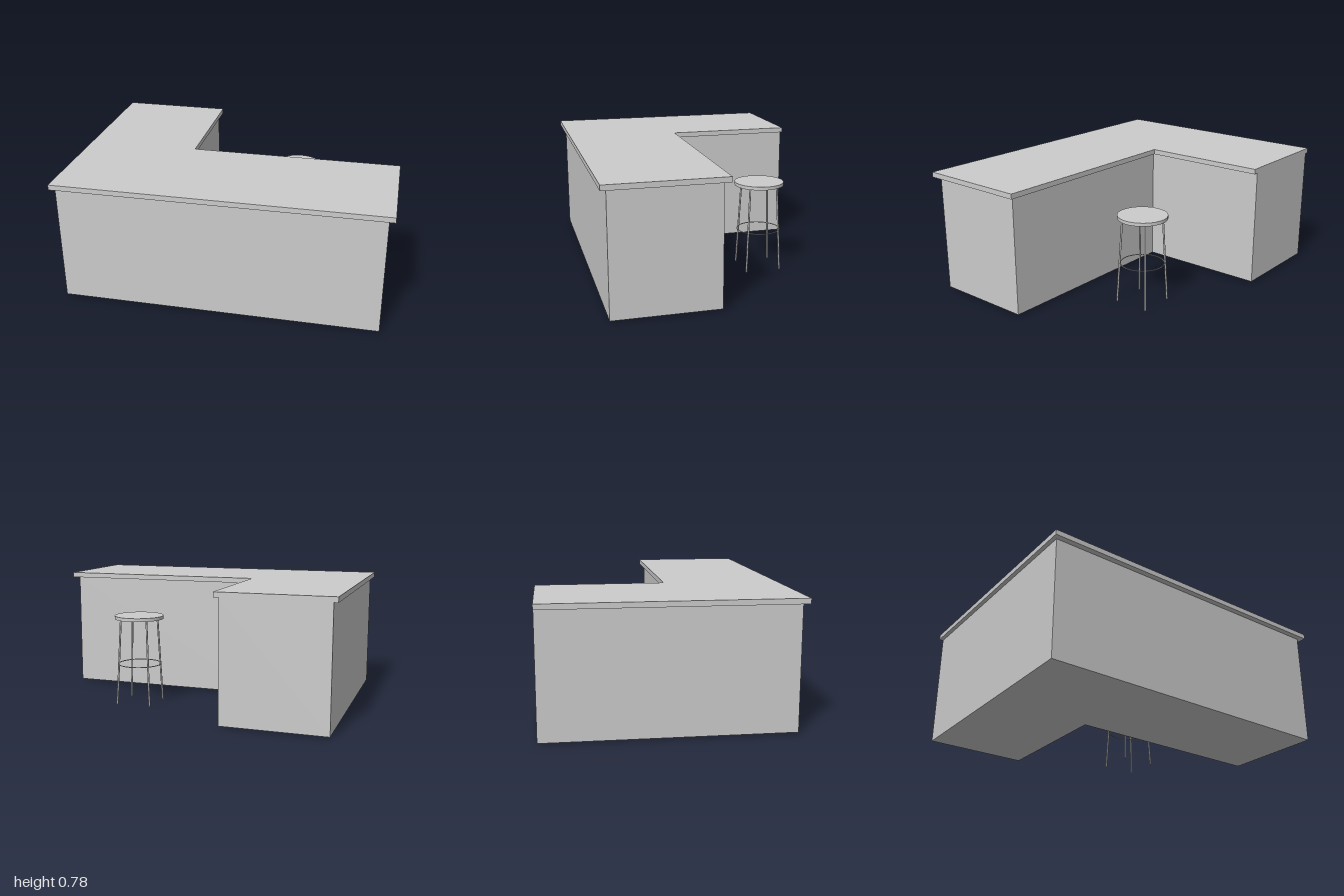
import * as THREE from 'three';

const material = new THREE.MeshStandardMaterial({ color: 0xcccccc });

function addMesh(parent, name, geometry, x = 0, y = 0, z = 0) {
  const mesh = new THREE.Mesh(geometry, material);
  mesh.name = name;
  mesh.position.set(x, y, z);
  parent.add(mesh);
  return mesh;
}

// L-shaped slab: a front run across x plus a wing going back on the -x side
function lSlab({ x0, x1, back, front, innerX, innerZ, height }) {
  const corners = [[x0, front], [x1, front], [x1, innerZ], [innerX, innerZ], [innerX, back], [x0, back]];
  const shape = new THREE.Shape(corners.map(([x, z]) => new THREE.Vector2(x, -z)));
  return new THREE.ExtrudeGeometry(shape, { depth: height, bevelEnabled: false }).rotateX(-Math.PI / 2);
}

// Round stool with four splayed legs and a foot ring
function createStool() {
  const stool = new THREE.Group();
  stool.name = 'stool';
  addMesh(stool, 'seat', new THREE.CylinderGeometry(0.154, 0.154, 0.021, 48), 0, 0.55, 0);

  const up = new THREE.Vector3(0, 1, 0);
  for (const sx of [-1, 1]) {
    for (const sz of [-1, 1]) {
      const foot = new THREE.Vector3(sx * 0.11, 0, sz * 0.11);
      const top = new THREE.Vector3(sx * 0.087, 0.542, sz * 0.087);
      const axis = top.clone().sub(foot);
      const leg = addMesh(stool, 'leg', new THREE.CylinderGeometry(0.006, 0.006, axis.length(), 12));
      leg.position.copy(foot).add(top).multiplyScalar(0.5);
      leg.quaternion.setFromUnitVectors(up, axis.normalize());
    }
  }

  const ring = new THREE.TorusGeometry(0.135, 0.003, 8, 48).rotateX(Math.PI / 2);
  addMesh(stool, 'footRing', ring, 0, 0.25, 0);
  return stool;
}

export function createModel() {
  const model = new THREE.Group();
  model.name = 'cornerCounter';

  // Counter body, set in under the top except at the flush back end
  addMesh(model, 'counterBase', lSlab({
    x0: -0.975, x1: 0.965, back: -0.747, front: 0.713, innerX: -0.335, innerZ: 0.072, height: 0.737,
  }), 0, 0.008, 0);

  // Overhanging worktop
  addMesh(model, 'countertop', lSlab({
    x0: -1, x1: 1, back: -0.748, front: 0.748, innerX: -0.303, innerZ: 0.04, height: 0.032,
  }), 0, 0.744, 0);

  const stool = createStool();
  stool.position.set(0.32, 0, -0.356);
  model.add(stool);
  return model;
}
